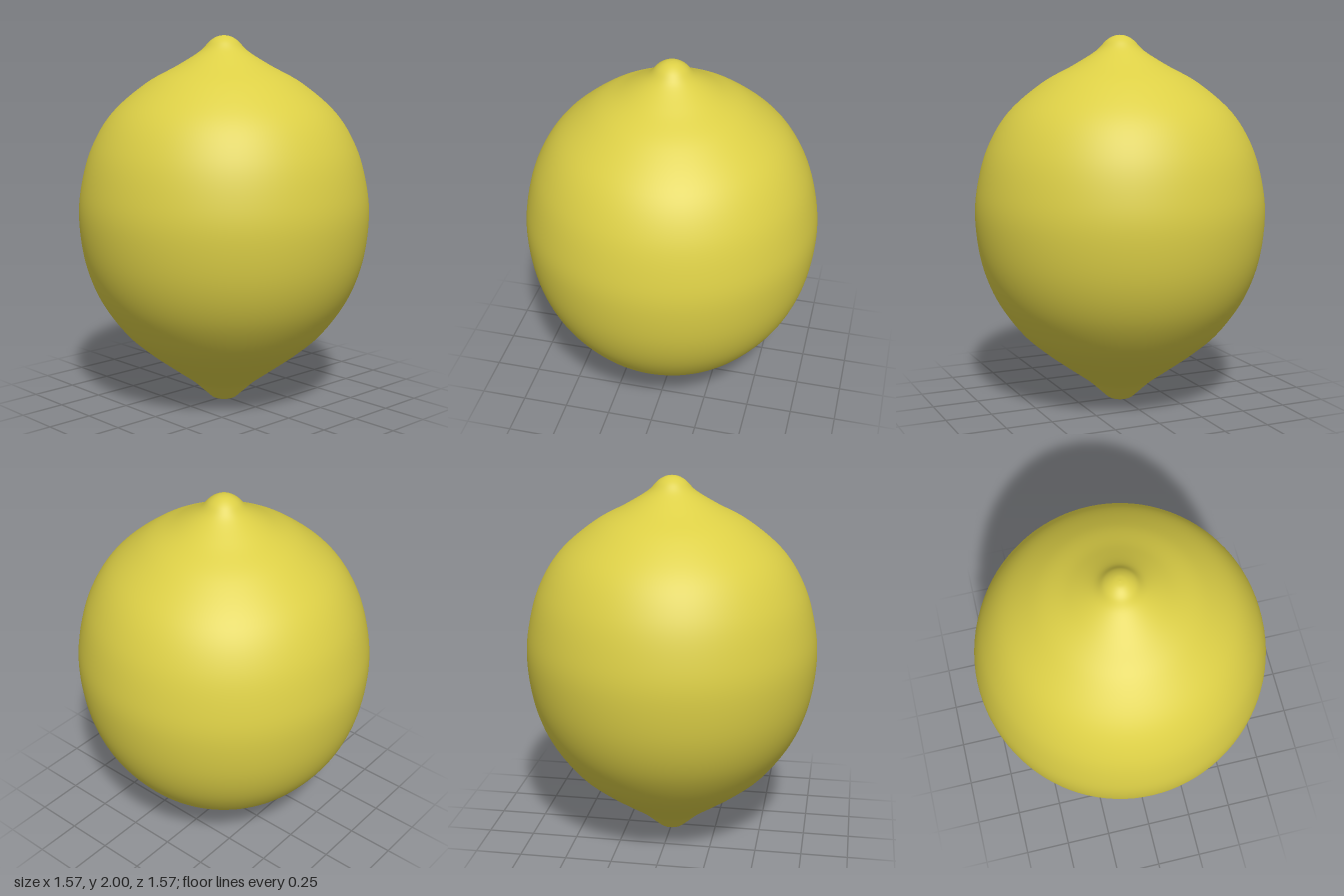
import * as THREE from 'three';

export function createModel() {
  const lemonYellow = new THREE.MeshStandardMaterial({ color: 0xdccf46 });
  lemonYellow.name = 'lemonYellow';

  // Half outline from the flat stem end up to the rounded nipple: [radius, height]
  const outline = [
    [0, 0.004], [0.035, 0.001], [0.065, 0.008], [0.1, 0.038], [0.18, 0.11],
    [0.29, 0.19], [0.43, 0.295], [0.555, 0.41], [0.68, 0.59], [0.755, 0.79],
    [0.785, 1.02], [0.768, 1.21], [0.71, 1.41], [0.6, 1.59], [0.42, 1.745],
    [0.25, 1.84], [0.13, 1.915], [0.075, 1.97], [0.035, 1.994], [0, 2],
  ].map(([r, y]) => new THREE.Vector2(r, y));

  // Smooth the outline and keep both ends on the axis
  const profile = new THREE.SplineCurve(outline).getPoints(114);
  profile.forEach((p) => { p.x = Math.max(0, p.x); p.y = THREE.MathUtils.clamp(p.y, 0, 2); });

  // Fruit body, turned around the vertical axis
  const fruit = new THREE.Mesh(new THREE.LatheGeometry(profile, 96), lemonYellow);
  fruit.name = 'fruit';

  const model = new THREE.Group();
  model.name = 'lemon';
  model.add(fruit);
  return model;
}
